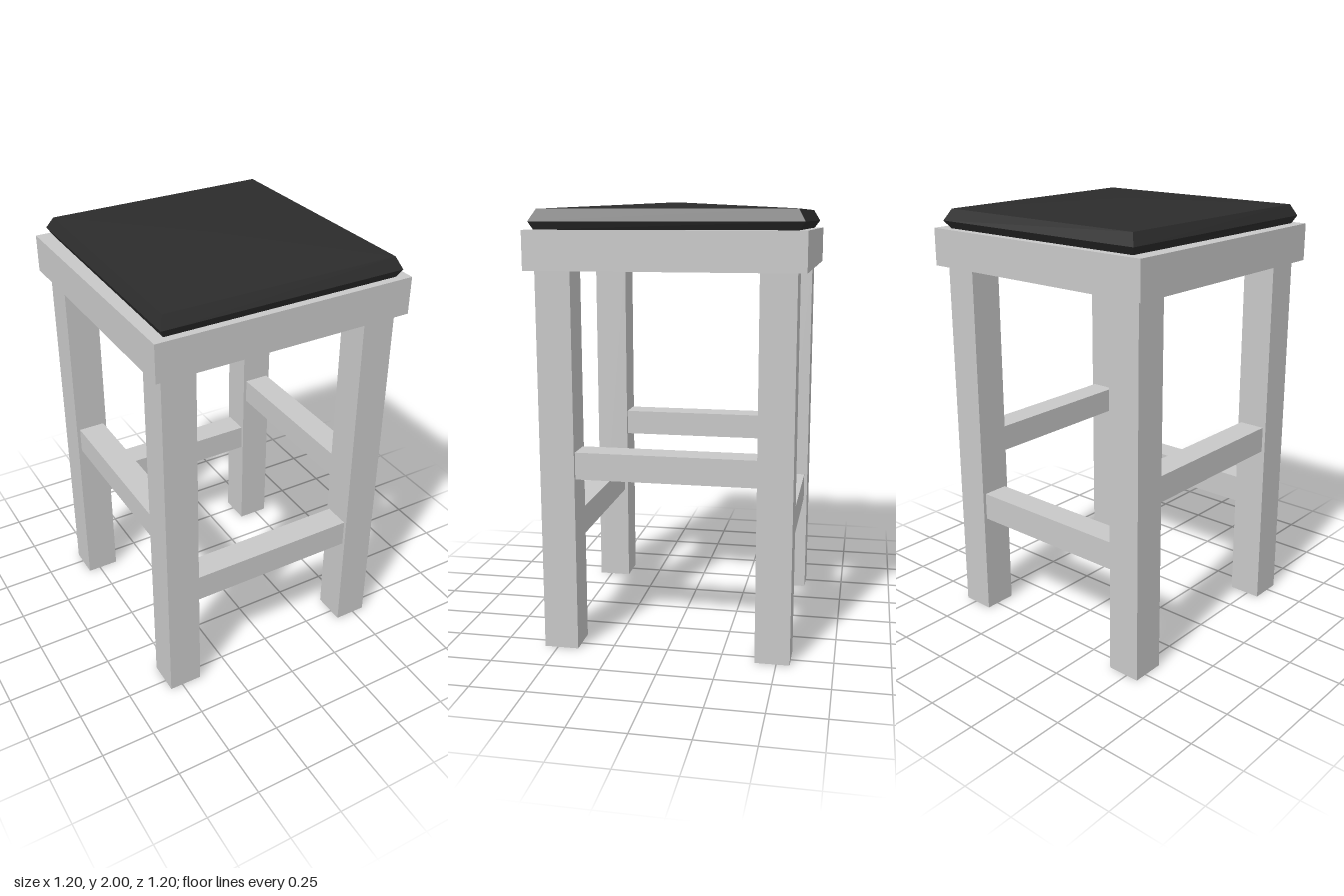
import * as THREE from 'three';

const frameGrey = new THREE.MeshStandardMaterial({ color: 0xc8c8c8 });
frameGrey.name = 'frame grey';
const cushionBlack = new THREE.MeshStandardMaterial({ color: 0x2c2c2c, flatShading: true });
cushionBlack.name = 'cushion black';

function addBox(group, name, size, position) {
  const mesh = new THREE.Mesh(new THREE.BoxGeometry(...size), frameGrey);
  mesh.name = name;
  mesh.position.set(...position);
  group.add(mesh);
}

// Padded cushion: four-cornered rings stacked up to a shallow peak
function cushionGeometry() {
  // y, half width at front, half width at back, front z, back z
  const rings = [
    [1.88, 0.545, 0.53, 0.565, -0.56],
    [1.915, 0.563, 0.552, 0.583, -0.585],
    [1.967, 0.54, 0.525, 0.552, -0.555],
  ].map(([y, f, b, zf, zb]) => [[f, y, zf], [b, y, zb], [-b, y, zb], [-f, y, zf]]);
  const peak = [0, 2, 0.05];
  const points = [];
  for (let i = 0; i < 4; i++) {
    const j = (i + 1) % 4;
    for (let r = 0; r < 2; r++) {
      const low = rings[r], high = rings[r + 1];
      points.push(low[i], low[j], high[j], low[i], high[j], high[i]);
    }
    points.push(rings[2][i], rings[2][j], peak);
    points.push(rings[0][j], rings[0][i], [0, 1.88, 0]);
  }
  const geometry = new THREE.BufferGeometry();
  geometry.setAttribute('position', new THREE.Float32BufferAttribute(points.flat(), 3));
  geometry.computeVertexNormals();
  return geometry;
}

export function createModel() {
  const stool = new THREE.Group();
  stool.name = 'stool';

  // Legs
  for (const x of [-1, 1]) {
    for (const z of [-1, 1]) {
      addBox(stool, `${z > 0 ? 'front' : 'back'}${x > 0 ? 'Left' : 'Right'}Leg`,
        [0.156, 1.71, 0.156], [x * 0.482, 0.855, z * 0.482]);
    }
  }

  // Low rails at front and back, higher rails at the sides
  for (const s of [-1, 1]) {
    addBox(stool, s > 0 ? 'frontRail' : 'backRail', [0.808, 0.13, 0.125], [0, 0.55, s * 0.482]);
    addBox(stool, s > 0 ? 'leftRail' : 'rightRail', [0.125, 0.122, 0.808], [s * 0.482, 0.855, 0]);
  }

  // Seat frame and cushion
  addBox(stool, 'seatFrame', [1.2, 0.17, 1.2], [0, 1.795, 0]);
  const cushion = new THREE.Mesh(cushionGeometry(), cushionBlack);
  cushion.name = 'cushion';
  stool.add(cushion);

  return stool;
}
